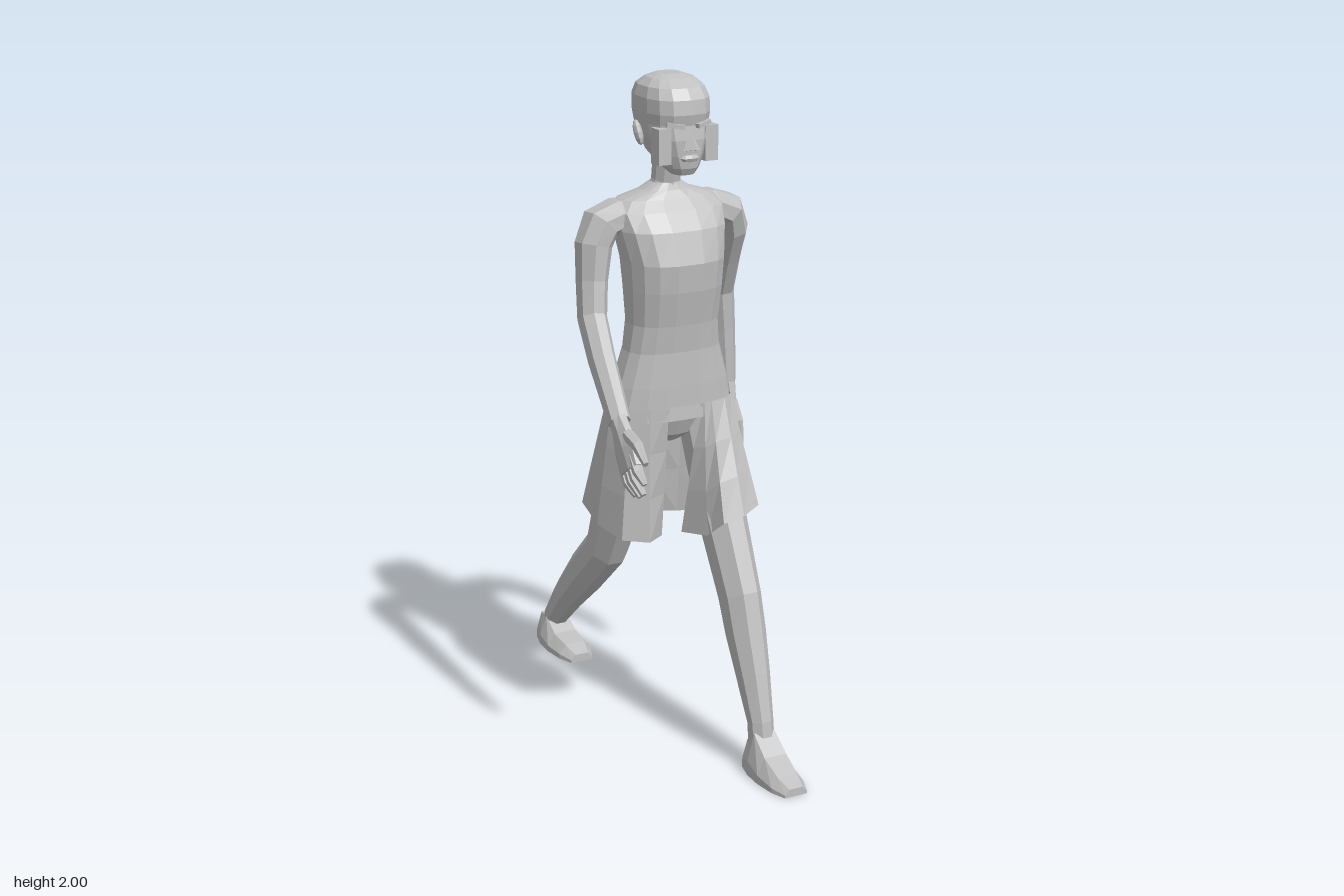
import * as THREE from 'three';

const grey = new THREE.MeshStandardMaterial({ color: 0xc0c0c0, flatShading: true, side: THREE.DoubleSide });
grey.name = 'plain grey';

// Skin a list of rings (arrays of Vector3, counter-clockwise about the growth direction)
function loft(name, rings, closed = true) {
  const n = rings[0].length, pos = [], idx = [];
  rings.forEach(r => r.forEach(p => pos.push(p.x, p.y, p.z)));
  for (let i = 0; i < rings.length - 1; i++) {
    for (let j = 0; j < (closed ? n : n - 1); j++) {
      const k = (j + 1) % n, a = i * n + j, b = i * n + k;
      idx.push(a, b, b + n, a, b + n, a + n);
    }
  }
  if (closed) {
    const last = (rings.length - 1) * n;
    for (let j = 1; j < n - 1; j++) idx.push(0, j + 1, j, last, last + j, last + j + 1);
  }
  const g = new THREE.BufferGeometry();
  g.setAttribute('position', new THREE.Float32BufferAttribute(pos, 3));
  g.setIndex(idx);
  g.computeVertexNormals();
  return named(name, g);
}

function named(name, geometry) {
  const m = new THREE.Mesh(geometry, grey);
  m.name = name;
  return m;
}

const soft = (v, p) => Math.sign(v) * Math.abs(v) ** p;

// Upright body: rows of [y, half width, front z, back z]
function body(name, rows, sides, power) {
  return loft(name, rows.map(([y, w, zf, zb]) => {
    const zc = (zf + zb) / 2, d = (zf - zb) / 2;
    return Array.from({ length: sides }, (_, j) => {
      const a = ((j + 0.5) / sides) * Math.PI * 2;
      return new THREE.Vector3(w * soft(Math.cos(a), power), y, zc - d * soft(Math.sin(a), power));
    });
  }));
}

// Limb along points [x, y, z, radius along ref axis, radius across it]
function limb(name, pts, ref, sides = 8) {
  const c = pts.map(p => new THREE.Vector3(p[0], p[1], p[2]));
  return loft(name, pts.map((p, i) => {
    const t = c[Math.min(i + 1, c.length - 1)].clone().sub(c[Math.max(i - 1, 0)]).normalize();
    const u = ref.clone().addScaledVector(t, -t.dot(ref)).normalize();
    const v = t.clone().cross(u);
    return Array.from({ length: sides }, (_, j) => {
      const a = ((j + 0.5) / sides) * Math.PI * 2;
      return c[i].clone().addScaledVector(u, p[3] * Math.cos(a)).addScaledVector(v, p[4] * Math.sin(a));
    });
  }));
}

const X = new THREE.Vector3(1, 0, 0), Z = new THREE.Vector3(0, 0, 1);

// Foot from heel to toe: rows of [distance from heel, half width, height]
function foot(name, x, y, heel, instep) {
  const rows = [[0, 0.03, 0.05], [0.012, 0.042, 0.085], [0.065, 0.056, instep], [0.13, 0.06, instep * 0.6], [0.2, 0.053, 0.042], [0.248, 0.036, 0.024]];
  return loft(name, rows.map(([d, w, h]) =>
    [[-1, 0], [1, 0], [1, 0.35], [0.6, 1], [-0.6, 1], [-1, 0.35]].map(([a, b]) =>
      new THREE.Vector3(x + a * w, y + b * h, heel + d))));
}

// Hand: a flat palm, four fingers and a thumb; hangs along -y with the thumb toward +z
function hand(name, x, y, z, pitch, roll) {
  const g = new THREE.Group();
  g.name = name;
  g.add(limb('palm', [[0, 0.02, 0, 0.024, 0.03], [0, -0.03, 0, 0.024, 0.045], [0, -0.08, -0.005, 0.024, 0.062], [0, -0.14, -0.01, 0.02, 0.06]], X));
  for (let i = 0; i < 4; i++) {
    const f = 0.026 - i * 0.024, len = [0.08, 0.1, 0.095, 0.08][i];
    g.add(limb('finger', [[0, -0.11, f, 0.017, 0.016], [0, -0.12 - len / 2, f * 1.05, 0.016, 0.015], [-0.01 * Math.sign(x), -0.12 - len, f, 0.008, 0.009]], X, 6));
  }
  g.add(limb('thumb', [[0, -0.05, 0.03, 0.018, 0.02], [0, -0.1, 0.068, 0.016, 0.018], [0, -0.165, 0.085, 0.008, 0.01]], X, 6));
  g.position.set(x, y, z);
  g.rotation.set(pitch, 0, roll);
  return g;
}

function torso(g) {
  g.add(body('tunicTop', [
    [1.02, 0.187, 0.125, -0.09], [1.06, 0.188, 0.122, -0.09], [1.12, 0.175, 0.122, -0.08], [1.22, 0.146, 0.12, -0.062],
    [1.3, 0.136, 0.13, -0.062], [1.4, 0.142, 0.15, -0.074], [1.48, 0.147, 0.158, -0.087],
    [1.57, 0.165, 0.13, -0.096], [1.62, 0.175, 0.09, -0.094], [1.65, 0.145, 0.062, -0.082],
    [1.672, 0.075, 0.048, -0.06], [1.692, 0.043, 0.04, -0.045]], 16, 0.8));
  g.add(limb('neck', [[0, 1.64, -0.01, 0.06, 0.055], [0, 1.7, 0, 0.042, 0.042], [0, 1.75, 0.008, 0.042, 0.044], [0, 1.82, 0.02, 0.058, 0.065]], X, 10));
  g.add(body('pelvis', [[0.93, 0.03, 0.03, -0.04], [0.96, 0.09, 0.07, -0.06], [1.03, 0.13, 0.1, -0.07]], 10, 0.9));

  // Skirt open at the front, its hem pulled forward over one leg and back over the other;
  // each hem point [x, y, z, angle] hangs from the hip line at that angle from the front
  const hem = [[0.02, 0.655, 0.06, 10], [0.05, 0.67, 0.16, 14], [0.068, 0.725, 0.228, 22], [0.125, 0.745, 0.245, 42],
    [0.195, 0.755, 0.205, 66], [0.205, 0.7, 0.06, 95], [0.18, 0.66, -0.07, 128], [0.1, 0.65, -0.12, 152],
    [0.02, 0.65, -0.165, 174], [-0.05, 0.68, -0.215, 195], [-0.13, 0.72, -0.235, 218], [-0.19, 0.71, -0.17, 240],
    [-0.21, 0.69, -0.03, 272], [-0.185, 0.67, 0.08, 305], [-0.11, 0.66, 0.11, 330], [-0.05, 0.66, 0.07, 348]];
  const rings = [];
  for (let r = 0; r <= 3; r++) {
    rings.push(hem.map(([x, y, z, angle]) => {
      const a = THREE.MathUtils.degToRad(angle);
      const top = new THREE.Vector3(0.19 * soft(Math.sin(a), 0.8), 1.06, 0.016 + 0.108 * soft(Math.cos(a), 0.8));
      return new THREE.Vector3(x, y, z).lerp(top, r / 3);
    }));
  }
  g.add(loft('skirt', rings, false));
}

function head(g) {
  g.add(body('skull', [
    [1.73, 0.03, 0.13, 0.06], [1.75, 0.048, 0.142, 0.01], [1.785, 0.068, 0.148, -0.045], [1.83, 0.086, 0.15, -0.07],
    [1.87, 0.091, 0.145, -0.088], [1.9, 0.095, 0.152, -0.096], [1.94, 0.095, 0.147, -0.094],
    [1.97, 0.086, 0.125, -0.078], [1.99, 0.064, 0.085, -0.045], [2.0, 0.035, 0.05, -0.02]], 14, 0.78));
  const nose = named('nose', new THREE.ConeGeometry(0.026, 0.06, 4));
  nose.position.set(0, 1.832, 0.147);
  nose.rotation.x = -0.25;
  g.add(nose);
  const lips = named('lips', new THREE.SphereGeometry(0.03, 8, 4));
  lips.scale.set(1, 0.4, 0.45);
  lips.position.set(0, 1.78, 0.142);
  g.add(lips);
  for (const s of [1, -1]) {
    const ear = named('ear', new THREE.SphereGeometry(0.032, 8, 6));
    ear.scale.set(0.4, 1.15, 0.7);
    ear.position.set(s * 0.104, 1.843, 0.033);
    ear.rotation.set(-0.2, s * 0.5, -s * 0.15);
    g.add(ear);
    const brow = named('brow', new THREE.BoxGeometry(0.05, 0.012, 0.02));
    brow.position.set(s * 0.042, 1.872, 0.137);
    brow.rotation.set(0, s * 0.35, s * 0.15);
    g.add(brow);
    // Square side blocks beside the cheeks
    const block = named('cheekBlock', new THREE.BoxGeometry(0.04, 0.1, 0.045));
    block.position.set(s * 0.073, 1.815, 0.112);
    g.add(block);
  }
}

function arms(g) {
  g.add(limb('leftArm', [[0.07, 1.61, -0.02, 0.06, 0.045], [0.15, 1.603, -0.02, 0.07, 0.05], [0.2, 1.585, -0.022, 0.07, 0.055],
    [0.228, 1.53, -0.04, 0.064, 0.052],
    [0.24, 1.43, -0.085, 0.052, 0.044], [0.252, 1.32, -0.135, 0.047, 0.041], [0.264, 1.2, -0.142, 0.044, 0.038],
    [0.277, 1.03, -0.145, 0.038, 0.032]], Z));
  g.add(limb('rightArm', [[-0.07, 1.61, -0.015, 0.06, 0.045], [-0.15, 1.603, -0.015, 0.07, 0.05], [-0.2, 1.585, -0.012, 0.07, 0.055],
    [-0.226, 1.53, -0.005, 0.06, 0.052],
    [-0.237, 1.43, 0.005, 0.052, 0.044], [-0.249, 1.33, 0.03, 0.048, 0.041], [-0.264, 1.23, 0.12, 0.045, 0.038],
    [-0.279, 1.09, 0.255, 0.036, 0.032]], Z));
  g.add(hand('leftHand', 0.28, 1.02, -0.14, 0.06, 0.05));
  g.add(hand('rightHand', -0.282, 1.09, 0.26, -0.72, -0.05));
}

function legs(g) {
  g.add(limb('leftLeg', [[0.1, 1.04, 0.015, 0.07, 0.08], [0.115, 0.85, 0.068, 0.07, 0.082], [0.115, 0.7, 0.138, 0.068, 0.082],
    [0.118, 0.5, 0.235, 0.06, 0.074], [0.12, 0.4, 0.268, 0.058, 0.066], [0.122, 0.28, 0.31, 0.049, 0.055],
    [0.123, 0.15, 0.354, 0.038, 0.04], [0.123, 0.06, 0.365, 0.038, 0.04]], X));
  g.add(limb('rightLeg', [[-0.1, 1.04, 0, 0.07, 0.08], [-0.115, 0.85, -0.04, 0.075, 0.085], [-0.117, 0.68, -0.095, 0.07, 0.08],
    [-0.12, 0.57, -0.145, 0.063, 0.072], [-0.123, 0.44, -0.285, 0.06, 0.067], [-0.125, 0.33, -0.4, 0.05, 0.054],
    [-0.126, 0.23, -0.493, 0.038, 0.042], [-0.126, 0.18, -0.515, 0.037, 0.036]], X));
  g.add(foot('leftFoot', 0.122, 0, 0.314, 0.125));
  g.add(foot('rightFoot', -0.127, 0.133, -0.562, 0.09));
}

export function createModel() {
  const g = new THREE.Group();
  g.name = 'walkingFigure';
  torso(g);
  head(g);
  arms(g);
  legs(g);
  return g;
}
